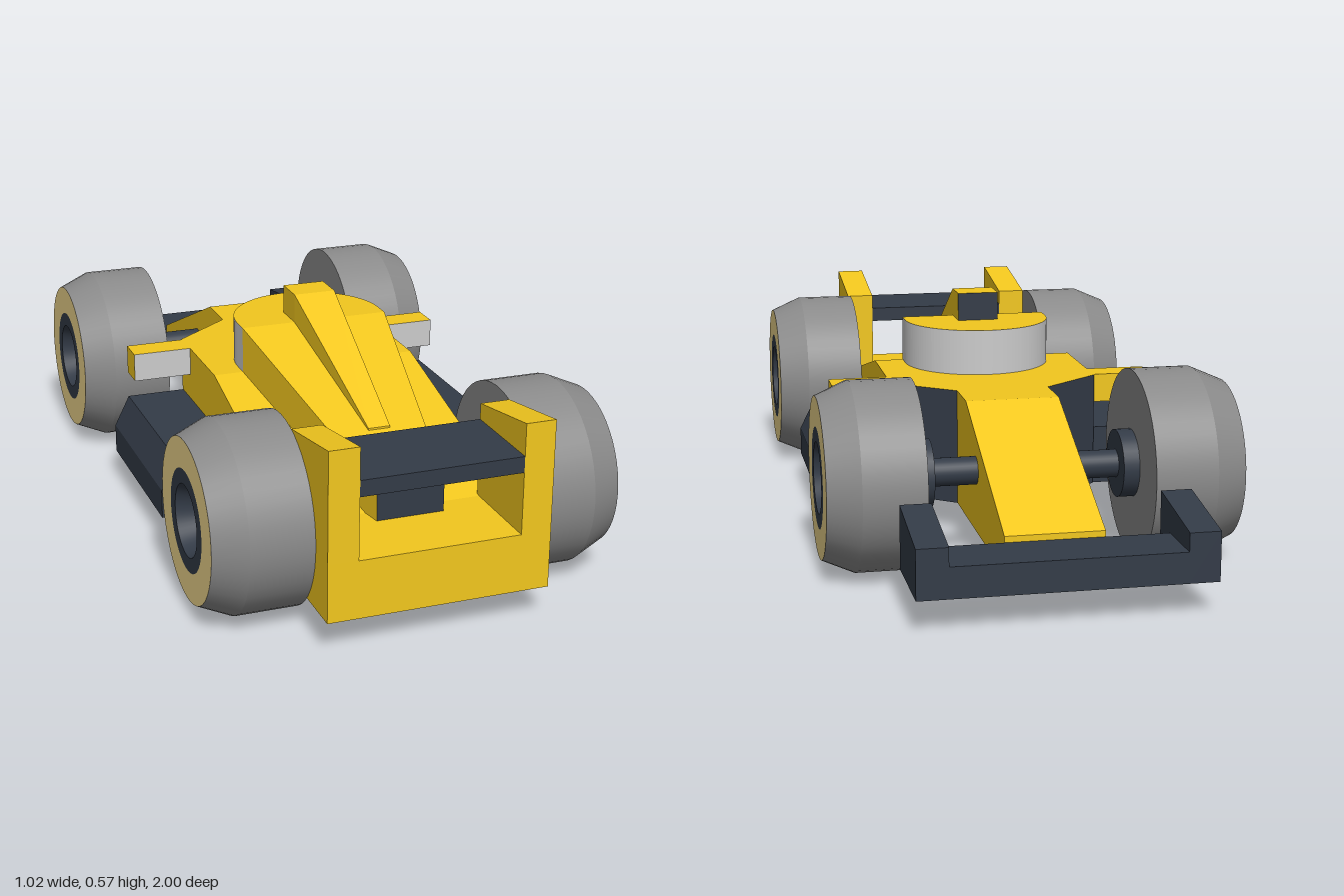
import * as THREE from 'three';

const mat = (color, side = THREE.FrontSide) => new THREE.MeshStandardMaterial({ color, side });

export function createModel() {
  const car = new THREE.Group();
  car.name = 'raceCar';
  const gold = mat(0xf2c71e), dark = mat(0x333b47), tan = mat(0xeed68c);
  const rubber = mat(0x8a8a8a), grey = mat(0xcccccc);
  const underDark = [gold, gold, gold, dark, gold, gold];

  const add = (name, geometry, material, parent = car) => {
    const mesh = new THREE.Mesh(geometry, material);
    mesh.name = name;
    parent.add(mesh);
    return mesh;
  };

  // Box whose two ends differ; each end is [z, left x, right x, bottom, top], lower z first
  const taper = (name, a, b, material) => {
    const g = new THREE.BoxGeometry(1, 1, 1).toNonIndexed();
    const groups = new THREE.BoxGeometry(1, 1, 1).groups;
    const p = g.attributes.position;
    for (let i = 0; i < p.count; i++) {
      const [z, x0, x1, y0, y1] = p.getZ(i) < 0 ? a : b;
      p.setXYZ(i, p.getX(i) < 0 ? x0 : x1, p.getY(i) < 0 ? y0 : y1, z);
    }
    g.clearGroups();
    for (const s of groups) g.addGroup(s.start, s.count, s.materialIndex);
    g.computeVertexNormals();
    return add(name, g, material);
  };
  const block = (name, x0, x1, y0, y1, z0, z1, material) =>
    taper(name, [z0, x0, x1, y0, y1], [z1, x0, x1, y0, y1], material);

  // Sections of the lower body from nose tip to tail: [z, half width, top]
  const sections = [[-0.85, 0.12, 0.17], [-0.375, 0.12, 0.38], [-0.255, 0.12, 0.38],
    [-0.135, 0.275, 0.38], [0.165, 0.275, 0.38], [0.77, 0.275, 0.225], [1, 0.275, 0.225]];
  const names = ['nose', 'noseRoot', 'shoulder', 'cockpitBody', 'engineDeck', 'tail'];
  names.forEach((name, i) => {
    const [a, b] = [sections[i], sections[i + 1]].map(([z, w, top]) => [z, -w, w, 0.08, top]);
    // The slanted shoulder sides are dark air inlets
    taper(name, a, b, name === 'shoulder' ? [dark, dark, gold, dark, gold, gold] : underDark);
  });

  // Rounded windscreen with a flat gold roof
  const roof = new THREE.Shape();
  roof.moveTo(0.197, -0.165);
  roof.lineTo(0.197, -0.12);
  roof.absarc(0, -0.12, 0.197, 0, Math.PI, false);
  roof.lineTo(-0.197, -0.165);
  roof.closePath();
  const screen = new THREE.ExtrudeGeometry(roof, { depth: 0.12, bevelEnabled: false, curveSegments: 32 });
  screen.rotateX(-Math.PI / 2).translate(0, 0.38, 0);
  add('windscreen', screen, [gold, grey]);

  // Engine cover narrowing to a dark outlet, and the air intake on top
  taper('engineCover', [0.165, -0.197, 0.197, 0.36, 0.5], [0.82, -0.085, 0.085, 0.2, 0.31],
    [gold, gold, gold, gold, dark, gold]);
  block('intakeMouth', -0.055, 0.055, 0.5, 0.575, 0.08, 0.165, [gold, gold, gold, gold, gold, dark]);
  taper('intakeFin', [0.165, -0.055, 0.055, 0.49, 0.575], [0.62, -0.028, 0.028, 0.363, 0.373], gold);

  // Wings
  block('rearWing', -0.2, 0.2, 0.38, 0.42, 0.76, 1, dark);
  block('frontWing', -0.275, 0.275, 0.08, 0.155, -1, -0.85, dark);

  // Tyre, rim and hub as sharp-edged turned strips: [name, material, [radius, distance]...]
  const strips = [
    ['tyreInnerWall', rubber, [0, 0.275], [0.235, 0.275]],
    ['tyreTread', rubber, [0.235, 0.275], [0.235, 0.43]],
    ['tyreShoulder', rubber, [0.235, 0.43], [0.2, 0.51]],
    ['tyreBand', tan, [0.2, 0.51], [0.125, 0.51]],
    ['rim', dark, [0.125, 0.51], [0.088, 0.51]],
    ['rimRecess', dark, [0.088, 0.51], [0.07, 0.46]],
    ['hub', dark, [0.07, 0.46], [0, 0.46]],
  ];

  for (const s of [1, -1]) {
    const side = s > 0 ? 'left' : 'right';
    const xs = (a, b) => (s > 0 ? [a, b] : [-b, -a]);

    const [e0, e1] = xs(0.2, 0.275);
    taper(side + 'RearEndplate', [0.76, e0, e1, 0.225, 0.46], [1, e0, e1, 0.225, 0.5], gold);
    const [f0, f1] = xs(0.275, 0.35);
    taper(side + 'FrontEndplate', [-1, f0, f1, 0.08, 0.2], [-0.77, f0, f1, 0.08, 0.235], dark);
    block(side + 'Mirror', ...xs(0.27, 0.43), 0.305, 0.38, -0.13, -0.055,
      [gold, gold, gold, gold, grey, gold]);

    // Side pod with a chamfered outer edge
    const pod = new THREE.Shape([[0.27, 0.08], [0.47, 0.08], [0.47, 0.155], [0.43, 0.235], [0.27, 0.235]]
      .map(([x, y]) => new THREE.Vector2(s * x, y)));
    add(side + 'SidePod', new THREE.ExtrudeGeometry(pod, { depth: 0.465, bevelEnabled: false })
      .translate(0, 0, -0.13), dark);

    for (const [end, z] of [['Front', -0.5], ['Rear', 0.69]]) {
      const wheel = new THREE.Group();
      wheel.name = side + end + 'Wheel';
      wheel.position.set(0, 0.235, z);
      wheel.rotation.z = -s * Math.PI / 2;
      for (const [name, material, ...pts] of strips) {
        add(name, new THREE.LatheGeometry(pts.map(p => new THREE.Vector2(...p)), 48), material, wheel);
      }
      car.add(wheel);
    }

    // Front axle and its flange
    for (const [name, r, x0, x1] of [['Axle', 0.035, 0.1, 0.24], ['AxleFlange', 0.085, 0.235, 0.276]]) {
      const g = new THREE.CylinderGeometry(r, r, x1 - x0, 32).rotateZ(Math.PI / 2);
      add(side + name, g, dark).position.set(s * (x0 + x1) / 2, 0.235, -0.505);
    }
  }
  return car;
}
